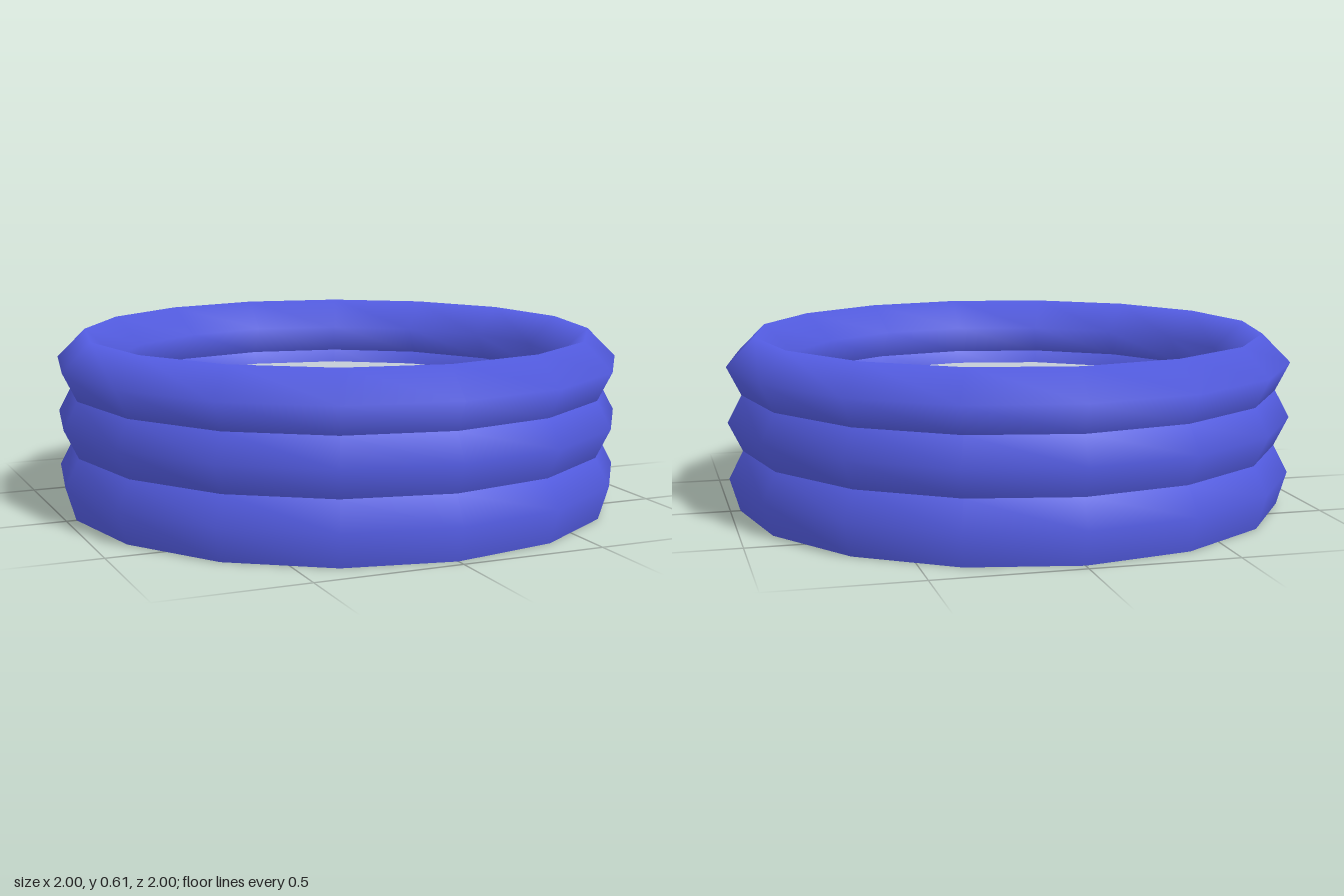
import * as THREE from 'three';

const SIDES = 16;

export function createModel() {
  const vinyl = new THREE.MeshStandardMaterial({ color: 0x545de4, side: THREE.DoubleSide });
  vinyl.name = 'blue vinyl';
  const waterGrey = new THREE.MeshStandardMaterial({ color: 0xc4ccd6, side: THREE.DoubleSide });
  waterGrey.name = 'pale grey water';

  const pool = new THREE.Group();
  pool.name = 'paddlingPool';

  // Revolves a short [radius, height] profile into a smooth wall
  function wall(name, profile) {
    const points = profile.map(([r, y]) => new THREE.Vector2(r, y));
    const mesh = new THREE.Mesh(new THREE.LatheGeometry(points, SIDES), vinyl);
    mesh.name = name;
    pool.add(mesh);
  }

  // Flat disc with corners on the axes, facing up or down
  function disc(name, radius, y, material, up) {
    const geometry = new THREE.CircleGeometry(radius, SIDES);
    geometry.rotateX(up ? -Math.PI / 2 : Math.PI / 2);
    const mesh = new THREE.Mesh(geometry, material);
    mesh.name = name;
    mesh.position.y = y;
    pool.add(mesh);
  }

  // Top ring wraps over the rim
  wall('topRing', [[0.95, 0.41], [1, 0.51], [0.9, 0.61], [0.79, 0.51], [0.84, 0.41]]);

  // Middle ring, outer and inner skins
  wall('middleRingOuter', [[0.95, 0.213], [1, 0.315], [0.95, 0.41]]);
  wall('middleRingInner', [[0.84, 0.41], [0.79, 0.315], [0.84, 0.213]]);

  // Bottom ring, open underneath
  wall('bottomRingOuter', [[0.965, 0], [1, 0.117], [0.95, 0.213]]);
  wall('bottomRingInner', [[0.84, 0.213], [0.8, 0.11]]);

  // Floor and water surface
  disc('floor', 0.815, 0.11, vinyl, false);
  disc('water', 0.88, 0.365, waterGrey, true);

  return pool;
}
